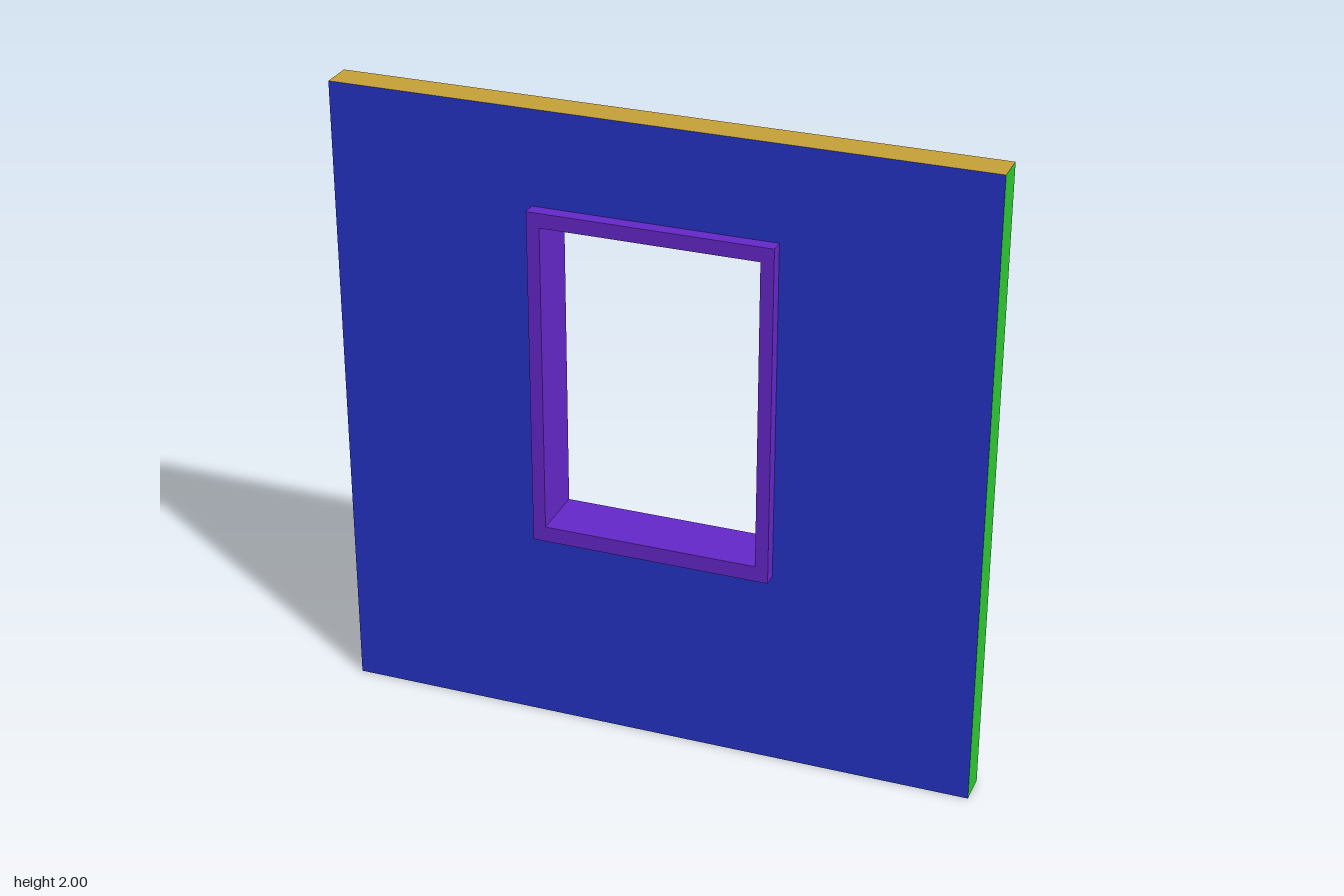
import * as THREE from 'three';

const SIZE = 2, HALF_DEPTH = 0.05;
const FRAME = { w: 0.745, h: 1.07, cy: 1.17, halfDepth: 0.093 };
const OPENING = { w: 0.665, h: 0.975, cy: 1.172 };

// Traces a rectangle centred on x = 0 into a Shape or Path
function rect(path, w, h, cy) {
  path.moveTo(-w / 2, cy - h / 2);
  path.lineTo(w / 2, cy - h / 2);
  path.lineTo(w / 2, cy + h / 2);
  path.lineTo(-w / 2, cy + h / 2);
  path.closePath();
  return path;
}

function rectWithHole(w, h, cy, hole) {
  const shape = rect(new THREE.Shape(), w, h, cy);
  shape.holes.push(rect(new THREE.Path(), hole.w, hole.h, hole.cy));
  return shape;
}

function part(parent, name, geometry, color) {
  const mesh = new THREE.Mesh(geometry, new THREE.MeshStandardMaterial({ color }));
  mesh.name = name;
  parent.add(mesh);
  return mesh;
}

export function createModel() {
  const model = new THREE.Group();
  model.name = 'wallWithWindow';

  // Wall: each side has its own colour, the broad faces are cut for the window
  const wall = new THREE.Group();
  wall.name = 'wall';
  model.add(wall);
  const face = new THREE.ShapeGeometry(rectWithHole(SIZE, SIZE, SIZE / 2, FRAME));
  part(wall, 'wallFront', face, 0x2634c8).position.z = HALF_DEPTH;
  const back = part(wall, 'wallBack', face, 0xcccccc);
  back.rotation.y = Math.PI;
  back.position.z = -HALF_DEPTH;

  // Narrow edges of the wall
  for (const [side, name, color] of [[1, 'wallLeftEnd', 0x2fce33], [-1, 'wallRightEnd', 0xcc1818]]) {
    const end = part(wall, name, new THREE.PlaneGeometry(2 * HALF_DEPTH, SIZE), color);
    end.rotation.y = side * Math.PI / 2;
    end.position.set(side * SIZE / 2, SIZE / 2, 0);
  }
  for (const [side, name] of [[1, 'wallTop'], [-1, 'wallBottom']]) {
    const edge = part(wall, name, new THREE.PlaneGeometry(SIZE, 2 * HALF_DEPTH), 0xc8a238);
    edge.rotation.x = -side * Math.PI / 2;
    edge.position.y = side > 0 ? SIZE : 0;
  }

  // Window frame standing proud of both faces and lining the opening
  const frame = new THREE.ExtrudeGeometry(rectWithHole(FRAME.w, FRAME.h, FRAME.cy, OPENING), {
    depth: 2 * FRAME.halfDepth, bevelEnabled: false,
  });
  part(model, 'windowFrame', frame, 0x6628cc).position.z = -FRAME.halfDepth;

  return model;
}
